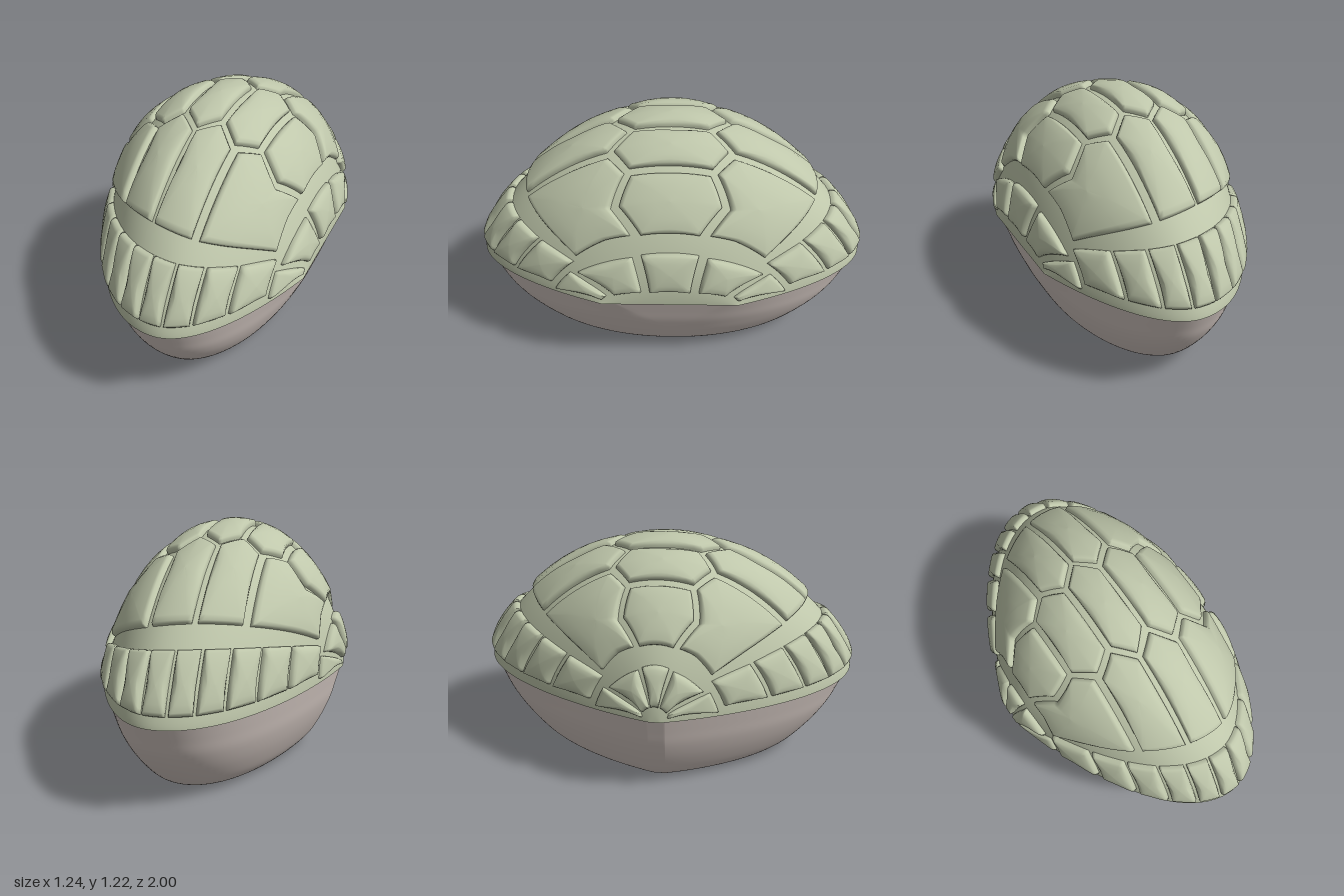
import * as THREE from 'three';

const RIM = 0.47, HALF = 0.605, RISE = 0.71;
const clamp = (v, a, b) => Math.min(b, Math.max(a, v));

// Half depth of the plan outline: pointed toward -x, blunt toward +x
function halfDepth(x) {
  const u = (x - 0.12) / (x < 0.12 ? 0.73 : 0.57);
  return Math.max(0.02, Math.pow(Math.max(0, 1 - u * u), 0.85));
}

// Dome surface: a sweeps across x, b sweeps across z (both -90..90 degrees)
function dome(a, b) {
  const x = HALF * Math.sin(a);
  const ca = Math.max(0, Math.cos(a)), cb = Math.max(0, Math.cos(b));
  return new THREE.Vector3(x, RIM + RISE * Math.pow(ca, 1.2) * Math.pow(cb, 1.5), halfDepth(x) * Math.sin(b));
}

function domeNormal(a, b) {
  const e = 0.01;
  a = clamp(a, -1.53, 1.53);
  b = clamp(b, -1.53, 1.53);
  const da = dome(a + e, b).sub(dome(a - e, b));
  const db = dome(a, b + e).sub(dome(a, b - e));
  return db.cross(da).normalize();
}

// Find dome parameters from a pair of coordinates
function fromTop(x, z) {
  return [Math.asin(x / HALF), Math.asin(clamp(z / halfDepth(x), -1, 1))];
}
function fromFront(x, y) {
  const a = Math.asin(x / HALF);
  const g = (y - RIM) / (RISE * Math.pow(Math.cos(a), 1.2));
  return [a, Math.acos(clamp(Math.pow(g, 2 / 3), 0, 1))];
}
function fromSide(z, y) {
  let lo = 0.2, hi = HALF;
  for (let i = 0; i < 40; i++) {
    const mid = (lo + hi) / 2;
    if (dome(...fromTop(mid, z)).y > y) lo = mid; else hi = mid;
  }
  return fromTop(lo, z);
}

function build(positions, indices) {
  const g = new THREE.BufferGeometry();
  g.setAttribute('position', new THREE.Float32BufferAttribute(positions, 3));
  g.setIndex(indices);
  g.computeVertexNormals();
  return g;
}

// Quads between consecutive rows of points
function stitch(indices, rows, n, closed) {
  for (let r = 0; r < rows - 1; r++) {
    for (let i = 0; i < (closed ? n : n - 1); i++) {
      const j = (i + 1) % n;
      const a = r * n + i, b = r * n + j, c = a + n, d = b + n;
      indices.push(a, b, d, a, d, c);
    }
  }
}

function domeGeometry() {
  const N = 72, pos = [], idx = [];
  for (let r = 0; r <= N; r++) {
    for (let i = 0; i <= N; i++) {
      pos.push(...dome((i / N - 0.5) * Math.PI, (0.5 - r / N) * Math.PI).toArray());
    }
  }
  stitch(idx, N + 1, N + 1, false);
  return build(pos, idx);
}

// Flat underside closing the dome along its rim
function undersideGeometry() {
  const pts = [];
  for (const side of [1, -1]) {
    for (let i = 0; i <= 72; i++) {
      const x = side * HALF * Math.sin((i / 72 - 0.5) * Math.PI);
      pts.push(new THREE.Vector2(x, side * halfDepth(x)));
    }
  }
  return new THREE.ShapeGeometry(new THREE.Shape(pts)).rotateX(Math.PI / 2).translate(0, RIM, 0);
}

// A puffed plate lying on the dome inside the polygon of (a, b) corners
function plateGeometry(corners) {
  let area = 0;
  corners.forEach((p, i) => {
    const q = corners[(i + 1) % corners.length];
    area += p[0] * q[1] - q[0] * p[1];
  });
  const poly = area > 0 ? [...corners].reverse() : corners;
  const loop = [], SEG = 10;
  poly.forEach((p, i) => {
    const q = poly[(i + 1) % poly.length];
    for (let k = 0; k < SEG; k++) {
      const t = k / SEG;
      loop.push([p[0] + (q[0] - p[0]) * t, p[1] + (q[1] - p[1]) * t]);
    }
  });
  const c = [0, 1].map(k => loop.reduce((s, p) => s + p[k], 0) / loop.length);
  const centre = dome(...c);
  const dists = loop.map(p => dome(...p).distanceTo(centre));
  const lift = Math.min(1, Math.min(...dists) / 0.04);
  // [inset distance, least and greatest inset share, height]
  const rings = [[0, 0, 0, -0.008], [0.003, 0, 0.08, 0.012], [0.011, 0, 0.22, 0.023], [0.024, 0.12, 0.4, 0.03],
    [0, 0.45, 0.45, 0.033], [0, 0.7, 0.7, 0.035], [0, 1, 1, 0.036]];
  const pos = [], idx = [];
  rings.forEach(([inset, least, most, h]) => {
    loop.forEach((p, i) => {
      const t = clamp(inset / dists[i], least, most);
      const a = p[0] + (c[0] - p[0]) * t, b = p[1] + (c[1] - p[1]) * t;
      pos.push(...dome(a, b).addScaledVector(domeNormal(a, b), h > 0 ? h * lift : h).toArray());
    });
  });
  stitch(idx, rings.length, loop.length, true);
  return build(pos, idx);
}

// Bowl: the plan outline shrunk toward a flat bottom, its blunt end rounding off on the way down
function bowlGeometry() {
  const N = 64, END = 10, n = 2 * (N + 1) + 2 * (END - 1);
  const profile = new THREE.SplineCurve([[1, 0.472], [0.965, 0.39], [0.925, 0.3], [0.86, 0.2], [0.775, 0.1],
    [0.71, 0.045], [0.645, 0.012], [0.575, 0]].map(p => new THREE.Vector2(...p))).getPoints(32).reverse();
  const pos = [], idx = [];
  for (const p of profile) {
    const round = clamp(0.2 + (RIM - p.y) * 3, 0.2, 0.88);
    const depth = x => {
      const u = (x - 0.12) / 0.48;
      const oval = x > 0.12 ? Math.sqrt(Math.max(0, 1 - u * u)) : halfDepth(x);
      return THREE.MathUtils.lerp(halfDepth(x), oval, round);
    };
    const put = (x, z) => pos.push(x * p.x * 0.99, Math.max(0, p.y), z * p.x * 0.985);
    for (const side of [1, -1]) {
      for (let i = 0; i <= N; i++) {
        const x = side * 0.6 * Math.sin((i / N - 0.5) * Math.PI);
        put(x, side * depth(x));
      }
      // points across the end of the outline
      for (let k = 1; k < END; k++) put(side * 0.6, side * depth(side * 0.6) * (1 - 2 * k / END));
    }
  }
  stitch(idx, profile.length, n, true);
  const c = pos.length / 3;
  pos.push(0, 0, 0);
  for (let i = 0; i < n; i++) idx.push(c, (i + 1) % n, i);
  return build(pos, idx);
}

export function createModel() {
  const green = new THREE.MeshStandardMaterial({ color: 0xbfc7ab });
  green.name = 'sageGreen';
  const grey = new THREE.MeshStandardMaterial({ color: 0xd6cac4 });
  grey.name = 'warmGrey';

  const model = new THREE.Group();
  model.name = 'shell';
  const add = (name, geometry, material, parent = model) => {
    const m = new THREE.Mesh(geometry, material);
    m.name = name;
    parent.add(m);
  };
  add('belly', bowlGeometry(), grey);
  add('dome', domeGeometry(), green);
  add('domeUnderside', undersideGeometry(), green);

  const groups = {};
  // Add a plate with its mirror copies across x and z
  const plate = (name, corners, mirrorX, mirrorZ) => {
    if (!groups[name]) {
      groups[name] = new THREE.Group();
      groups[name].name = name + 's';
      model.add(groups[name]);
    }
    for (const sx of mirrorX ? [1, -1] : [1]) {
      for (const sz of mirrorZ ? [1, -1] : [1]) {
        add(name, plateGeometry(corners.map(([a, b]) => [a * sx, b * sz])), green, groups[name]);
      }
    }
  };
  // Complete a half polygon across z = 0
  const across = half => [...half, ...half.map(([a, b]) => [a, -b]).reverse()];

  // Hexagons along the ridge
  plate('ridgePlate', across([fromTop(-0.086, 0.18), fromTop(0, 0.27), fromTop(0.086, 0.18)]), false, false);
  plate('ridgePlate', across([fromTop(0.115, 0.19), fromTop(0.2, 0.275), fromTop(0.288, 0.2)]), true, false);
  plate('ridgePlate', across([fromTop(0.315, 0.19), fromTop(0.41, 0.245), fromSide(0.14, 0.82)]), true, false);

  // Large plates sloping down to both ends
  plate('slopePlate', [fromFront(0.012, 0.87), fromFront(0.193, 0.845),
    fromTop(0.193, 0.31), fromTop(0.102, 0.217), fromTop(0.012, 0.295)], true, true);
  plate('slopePlate', [fromFront(0.225, 0.835), fromFront(0.34, 0.79), fromFront(0.49, 0.685), fromSide(0.31, 0.78),
    fromSide(0.19, 0.815), fromTop(0.41, 0.285), fromTop(0.303, 0.222), fromTop(0.225, 0.3)], true, true);

  // Row of upright plates along the rim
  const topY = x => 0.778 - 0.4 * x * x - 0.4 * x ** 4;
  for (let k = 0; k < 5; k++) {
    const x0 = 0.112 * k - 0.05, x1 = 0.112 * k + 0.05;
    plate('rimPlate', [fromFront(x0, 0.525), fromFront(x1, 0.525),
      fromFront(x1, topY(x1)), fromFront(x0, topY(x0))], k > 0, true);
  }

  // Fan of plates on each side
  plate('cornerPlate', [fromFront(0.512, 0.6), fromSide(0.31, 0.515), fromSide(0.33, 0.495),
    fromFront(0.512, 0.495)], true, true);
  plate('fanPlate', [fromSide(0.18, 0.72), fromSide(0.14, 0.548), fromSide(0.27, 0.525),
    fromSide(0.45, 0.61), fromSide(0.32, 0.68)], true, true);
  plate('fanPlate', across([fromSide(0.14, 0.735), fromSide(0.1, 0.55)]), true, false);

  return model;
}
